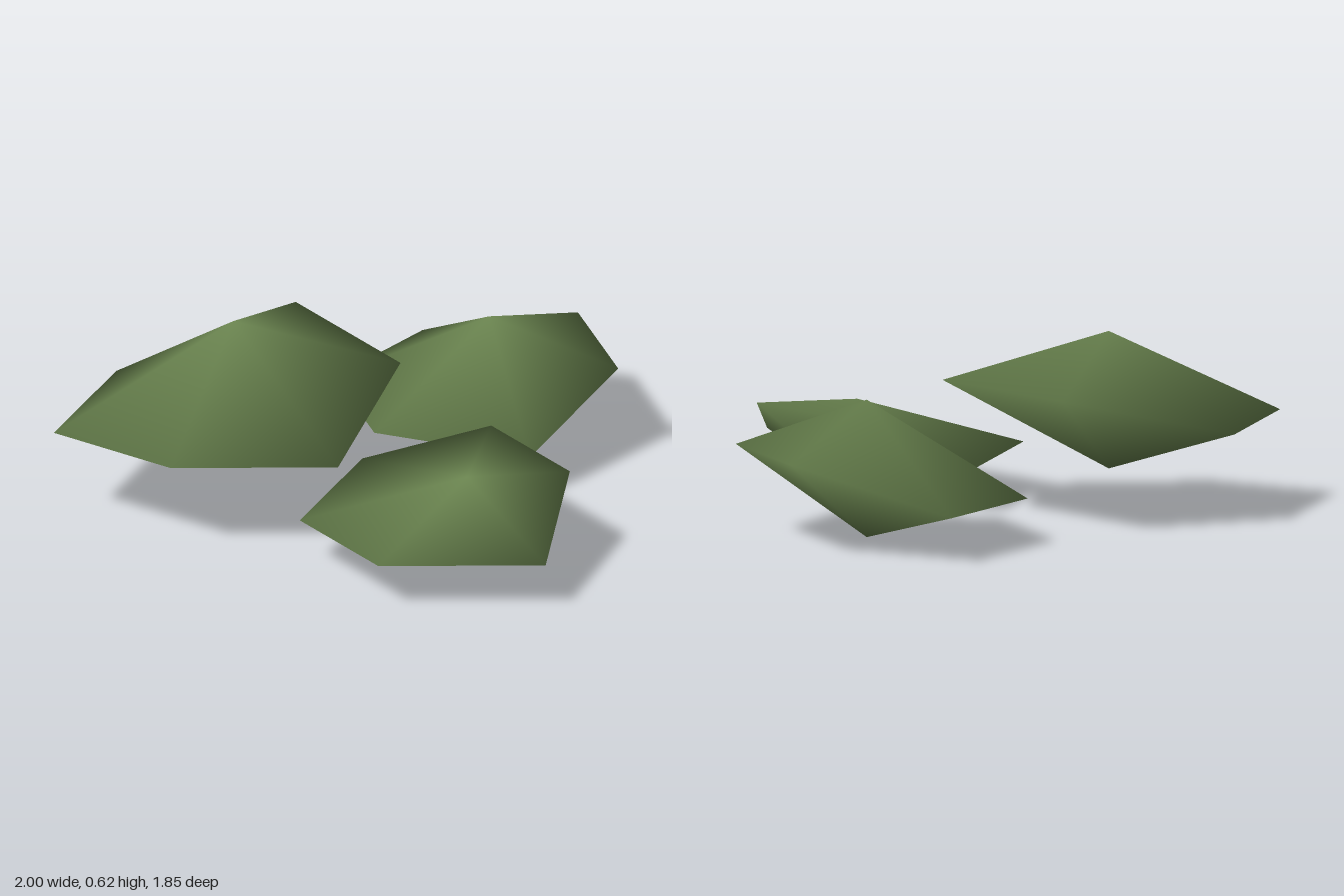
import * as THREE from 'three';

const U = 2 / 13; // one modelling unit; the whole cluster is 13 units wide

// Rim corners are [x, y, z], listed clockwise as seen from above.
const LEAVES = [
  {
    name: 'highLeaf', top: [-2.5, 4, -3], bottom: [-2.5, 1, -3],
    rim: [[-6.5, 2, -4], [-3.5, 2, -6], [0.5, 3, -5], [0.5, 3, -1], [-2.5, 2, 1], [-5.5, 2, -1]],
  },
  {
    name: 'sideLeaf', top: [3.5, 3, -2], bottom: [3.5, 0, -2],
    rim: [[0.5, 1, -2], [1.5, 1, -5], [4.5, 1, -6], [6.5, 2, -3], [5.5, 2, 0], [2.5, 1, 1]],
  },
  {
    name: 'frontLeaf', top: [-0.5, 2, 3], bottom: [-0.5, 0, 3],
    rim: [[-3.5, 1, 4], [-3.5, 1, 1], [-0.5, 1, -1], [1.5, 2, 1], [1.5, 2, 4], [-0.5, 1, 6]],
  },
];

// Closed six-sided double pyramid with shared corners, so it shades smoothly.
function leafGeometry({ top, bottom, rim }) {
  const n = rim.length;
  const positions = [...rim, top, bottom].flat().map((v) => v * U);
  const index = [];
  for (let i = 0; i < n; i++) {
    const j = (i + 1) % n;
    index.push(n, j, i); // upper side
    index.push(n + 1, i, j); // lower side
  }
  const geometry = new THREE.BufferGeometry();
  geometry.setAttribute('position', new THREE.Float32BufferAttribute(positions, 3));
  geometry.setIndex(index);
  geometry.computeVertexNormals();
  return geometry;
}

export function createModel() {
  const group = new THREE.Group();
  group.name = 'leafCluster';
  const green = new THREE.MeshStandardMaterial({ color: 0x6b8550, side: THREE.DoubleSide });
  green.name = 'leafGreen';

  for (const leaf of LEAVES) {
    const mesh = new THREE.Mesh(leafGeometry(leaf), green);
    mesh.name = leaf.name;
    group.add(mesh);
  }
  return group;
}
